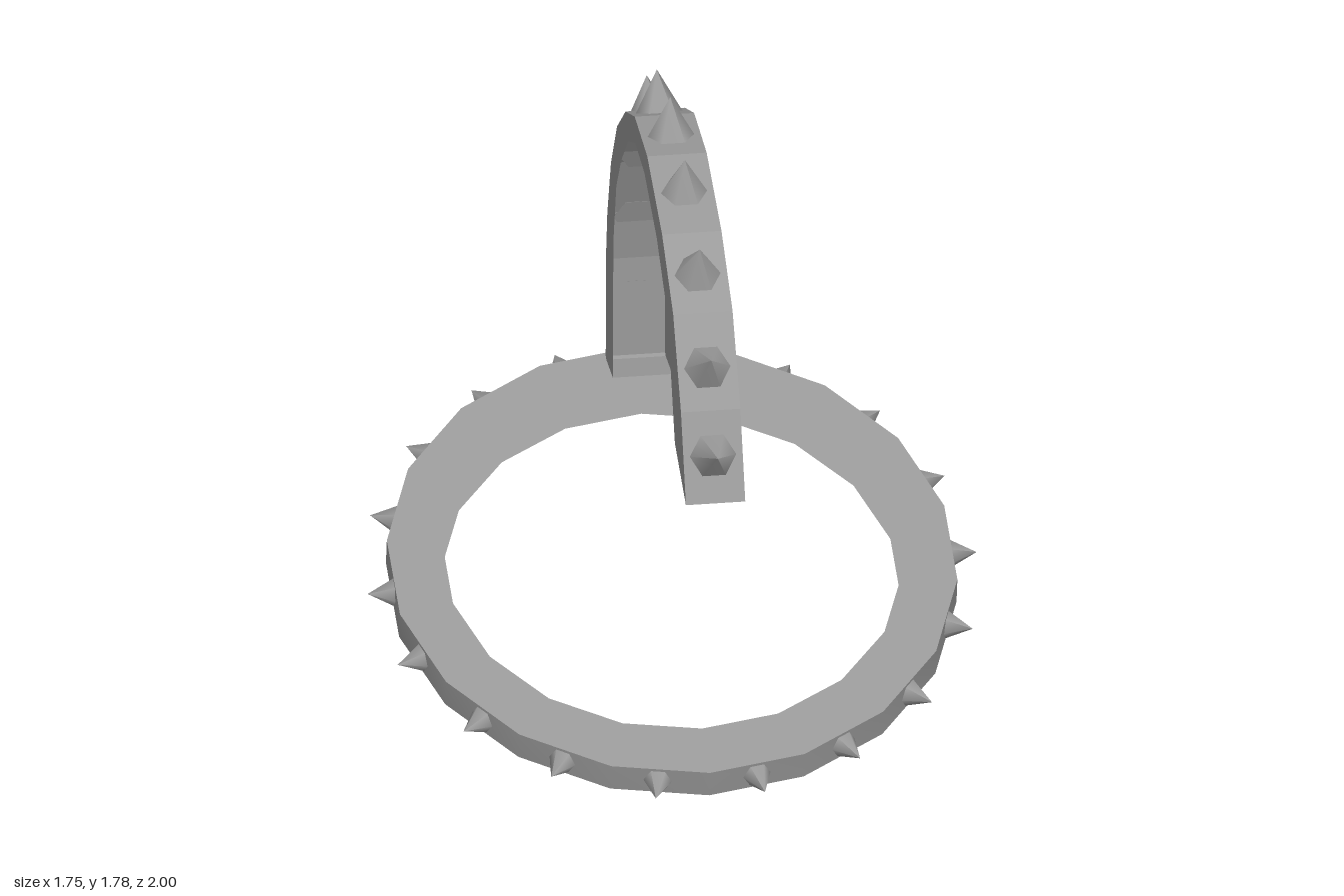
import * as THREE from 'three';
import { toCreasedNormals } from 'three/addons/utils/BufferGeometryUtils.js';

const steel = new THREE.MeshStandardMaterial({ color: 0x9b9b9b, side: THREE.DoubleSide });
const V = (x, y, z) => new THREE.Vector3(x, y, z);

// Joins successive cross-sections with flat quads; optional end caps
function loft(sections, capped) {
  const pos = [];
  const quad = (a, b, c, d) => [a, b, c, a, c, d].forEach(p => pos.push(p.x, p.y, p.z));
  for (let i = 0; i < sections.length - 1; i++) {
    const s = sections[i], t = sections[i + 1];
    for (let j = 0; j < s.length - 1; j++) quad(s[j], s[j + 1], t[j + 1], t[j]);
  }
  if (capped) {
    quad(...[...sections[0]].reverse());
    quad(...sections[sections.length - 1]);
  }
  const geo = new THREE.BufferGeometry();
  geo.setAttribute('position', new THREE.Float32BufferAttribute(pos, 3));
  geo.computeVertexNormals();
  return geo;
}

function part(name, geo) {
  const mesh = new THREE.Mesh(geo, steel);
  mesh.name = name;
  return mesh;
}

// Six-sided spike pointing along +z, its base sunk slightly below the origin
function spikeGeometry(radius, height) {
  const sink = 0.003;
  return new THREE.ConeGeometry(radius, height + sink, 6)
    .rotateY(Math.PI / 6).translate(0, (height - sink) / 2, 0).rotateX(Math.PI / 2);
}

// Tilted oval band, an open channel on its inner side
function makeRing() {
  const ring = new THREE.Group();
  ring.name = 'headRing';
  const sides = 18, ox = 0.81, oz = 0.887, ix = 0.652, iz = 0.702, h = 0.0435;
  const sections = [];
  for (let i = 0; i <= sides; i++) {
    const t = (i % sides) / sides * Math.PI * 2, s = Math.sin(t), c = Math.cos(t);
    sections.push([V(ix * s, h, iz * c), V(ox * s, h, oz * c), V(ox * s, -h, oz * c), V(ix * s, -h, iz * c)]);
  }
  ring.add(part('ringBand', toCreasedNormals(loft(sections, false), 0.6)));

  // Small spikes around the outside, by angle in degrees from the front
  const geo = spikeGeometry(0.042, 0.075);
  const angles = [10, 30, 50, 70.5, 90, 110, 130, 150, 167,
    195, 213, 232, 251, 271, 289.5, 310, 329.5, 349.5];
  for (const angle of angles) {
    const k = angle / 360 * sides, i = Math.floor(k);
    const a = sections[i][1], b = sections[i + 1][1];
    const spike = part('ringSpike', geo);
    spike.position.lerpVectors(a, b, k - i).setY(0);
    spike.rotation.y = Math.atan2(a.z - b.z, b.x - a.x);
    ring.add(spike);
  }
  ring.rotation.x = 0.234;
  ring.position.set(0, 0.249, -0.053);
  return ring;
}

// Crest arching from the front over to the back of the ring
function makeCrest() {
  const crest = new THREE.Group();
  crest.name = 'crest';
  const w = 0.085;
  // Each row: outer z, outer y, inner z, inner y
  const profile = [
    [0.945, 1.04, 0.694, 1.10], [0.833, 1.28, 0.60, 1.286], [0.656, 1.50, 0.469, 1.452],
    [0.404, 1.618, 0.281, 1.538], [0.067, 1.682, 0.003, 1.591], [-0.217, 1.65, -0.206, 1.57],
    [-0.426, 1.548, -0.367, 1.484], [-0.62, 1.388, -0.522, 1.334], [-0.758, 1.19, -0.635, 1.185],
    [-0.84, 0.98, -0.694, 0.992], [-0.872, 0.81, -0.71, 0.81], [-0.876, 0.484, -0.715, 0.511],
  ];
  const sections = profile.map(([oz, oy, iz, iy]) => [V(-w, iy, iz), V(-w, oy, oz), V(w, oy, oz), V(w, iy, iz)]);
  crest.add(part('crestBand', loft(sections, true)));

  // Spikes: base z, base y, tip z, tip y
  const spikes = [
    [0.887, 1.164, 1.0, 1.217], [0.755, 1.377, 0.85, 1.453], [0.535, 1.556, 0.587, 1.667],
    [0.228, 1.651, 0.25, 1.768], [-0.07, 1.667, -0.083, 1.785], [-0.338, 1.591, -0.39, 1.70],
    [-0.542, 1.452, -0.62, 1.55], [-0.73, 1.23, -0.826, 1.277], [-0.843, 0.965, -0.944, 0.998],
    [-0.874, 0.675, -0.996, 0.677],
  ];
  for (const [bz, by, tz, ty] of spikes) {
    const spike = part('crestSpike', spikeGeometry(0.068, Math.hypot(tz - bz, ty - by)));
    spike.position.set(0, by, bz);
    spike.rotation.x = -Math.atan2(ty - by, tz - bz);
    crest.add(spike);
  }
  return crest;
}

export function createModel() {
  const model = new THREE.Group();
  model.name = 'spikedHeadpiece';
  model.add(makeRing(), makeCrest());
  return model;
}
